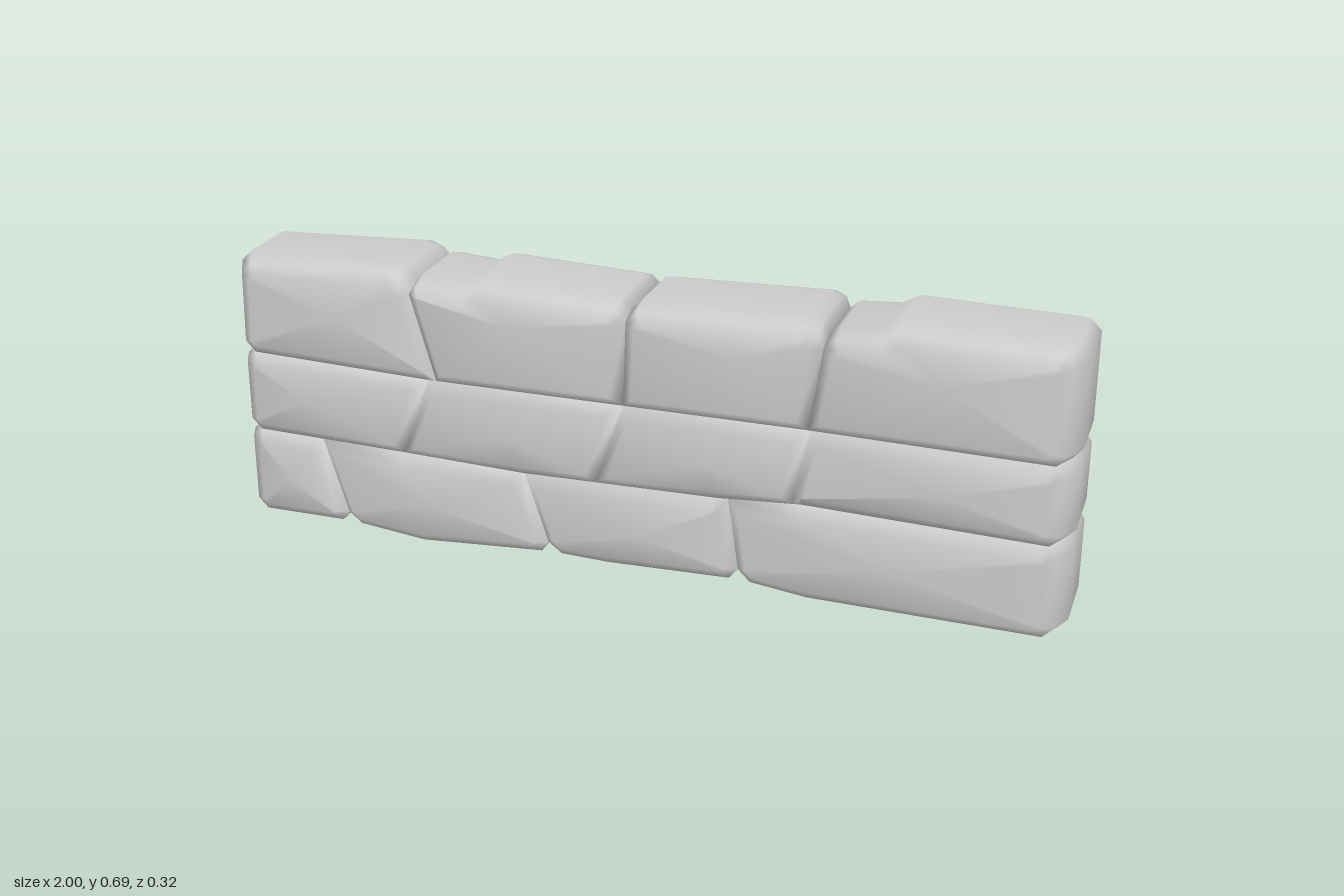
import * as THREE from 'three';

const material = new THREE.MeshStandardMaterial({ color: 0xcccccc });

// Bed lines [x, y] between courses, from the ground up to the top of the wall
const beds = [
  [[-1, .025], [-.72, .025], [-.53, .004], [-.2, .025], [-.06, .02], [.26, .028], [.42, .008], [1, 0]],
  [[-1, .238], [-.57, .228], [-.27, .218], [.2, .225], [.4, .238], [1, .221]],
  [[-1, .438], [-.5, .422], [.4, .42], [1, .41]],
  [[-1, .67], [-.6, .687], [-.55, .667], [-.41, .656], [-.37, .677], [-.02, .661],
    [.4, .672], [.44, .652], [.56, .66], [.6, .682], [1, .672]],
];

// Upright joints of each course as [x at bottom, x at top]
const joints = [
  [[-1, -1], [-.72, -.785], [-.2, -.265], [.26, .23], [1, 1]],
  [[-1, -1], [-.57, -.5], [-.09, -.02], [.38, .415], [1, 1]],
  [[-1, -1], [-.48, -.55], [-.02, -.015], [.41, .44], [1, 1]],
];

// Cross-sections through the wall: depth, joint bevel, end scale, top drop
const sections = [
  { z: .162, inset: .025, end: .97, drop: .012 },
  { z: .137, inset: 0, end: .975, drop: .016 },
  { z: .085, inset: 0, end: 1, drop: 0 },
];
const loops = [...sections, ...sections.map(s => ({ ...s, z: -s.z })).reverse()];

// Part of a bed line between two x values
function span(line, x0, x1) {
  const at = x => {
    const i = Math.max(1, line.findIndex(p => p[0] >= x));
    const [a, b] = [line[i - 1], line[i]];
    return new THREE.Vector2(x, a[1] + (b[1] - a[1]) * (x - a[0]) / (b[0] - a[0]));
  };
  const inner = line.filter(p => p[0] > x0 + .015 && p[0] < x1 - .015);
  return [at(x0), ...inner.map(p => new THREE.Vector2(...p)), at(x1)];
}

// Cut the corners that lie on the outside of the wall
function chamfer(points, corners) {
  return points.flatMap((p, i) => {
    const outer = Math.abs(p.x) > .99 || p.y > .6 || p.y < .1;
    if (!corners.has(p) || !outer) return [p];
    const n = points.length;
    return [points[(i + n - 1) % n], points[(i + 1) % n]].map(q =>
      p.clone().lerp(q, Math.min(.4, .025 / p.distanceTo(q))));
  });
}

// Move every edge of an outline inward by d
function insetOutline(points, d) {
  const n = points.length;
  return points.map((p, i) => {
    const a = p.clone().sub(points[(i + n - 1) % n]).normalize();
    const b = points[(i + 1) % n].clone().sub(p).normalize();
    const na = new THREE.Vector2(-a.y, a.x), nb = new THREE.Vector2(-b.y, b.x);
    return p.clone().add(na.clone().add(nb).multiplyScalar(d / (1 + na.dot(nb))));
  });
}

// Loft one bevelled stone from its front outline
function stoneGeometry(outline) {
  const pos = [], index = [], n = outline.length;
  for (const s of loops) {
    for (const p of insetOutline(outline, s.inset)) {
      const x = Math.abs(p.x) > .9 ? p.x * s.end : p.x;
      const y = p.y > .6 ? p.y - s.drop : p.y;
      const lean = 1 - .3 * Math.max(0, y - .47);
      pos.push(x, y, s.z * lean);
    }
  }
  // Centre points for the front and back faces
  const last = (loops.length - 1) * n;
  for (const start of [0, last]) {
    const c = [0, 0, 0];
    for (let i = 0; i < n; i++) for (let k = 0; k < 3; k++) c[k] += pos[(start + i) * 3 + k] / n;
    pos.push(...c);
  }
  const front = loops.length * n, back = front + 1;
  for (let i = 0; i < n; i++) {
    const j = (i + 1) % n;
    for (let k = 0; k < last; k += n) {
      index.push(k + i, k + n + i, k + n + j, k + i, k + n + j, k + j);
    }
    index.push(front, i, j, back, last + j, last + i);
  }
  const geometry = new THREE.BufferGeometry();
  geometry.setAttribute('position', new THREE.Float32BufferAttribute(pos, 3));
  geometry.setIndex(index);
  geometry.computeVertexNormals();
  return geometry;
}

export function createModel() {
  const wall = new THREE.Group();
  wall.name = 'stoneWall';
  const names = ['bottomCourse', 'middleCourse', 'topCourse'];
  joints.forEach((row, r) => {
    const course = new THREE.Group();
    course.name = names[r];
    for (let i = 0; i < row.length - 1; i++) {
      const bottom = span(beds[r], row[i][0], row[i + 1][0]);
      const top = span(beds[r + 1], row[i][1], row[i + 1][1]).reverse();
      const corners = new Set([bottom[0], bottom.at(-1), top[0], top.at(-1)]);
      const stone = new THREE.Mesh(stoneGeometry(chamfer([...bottom, ...top], corners)), material);
      stone.name = `stone${i + 1}`;
      course.add(stone);
    }
    wall.add(course);
  });
  return wall;
}
